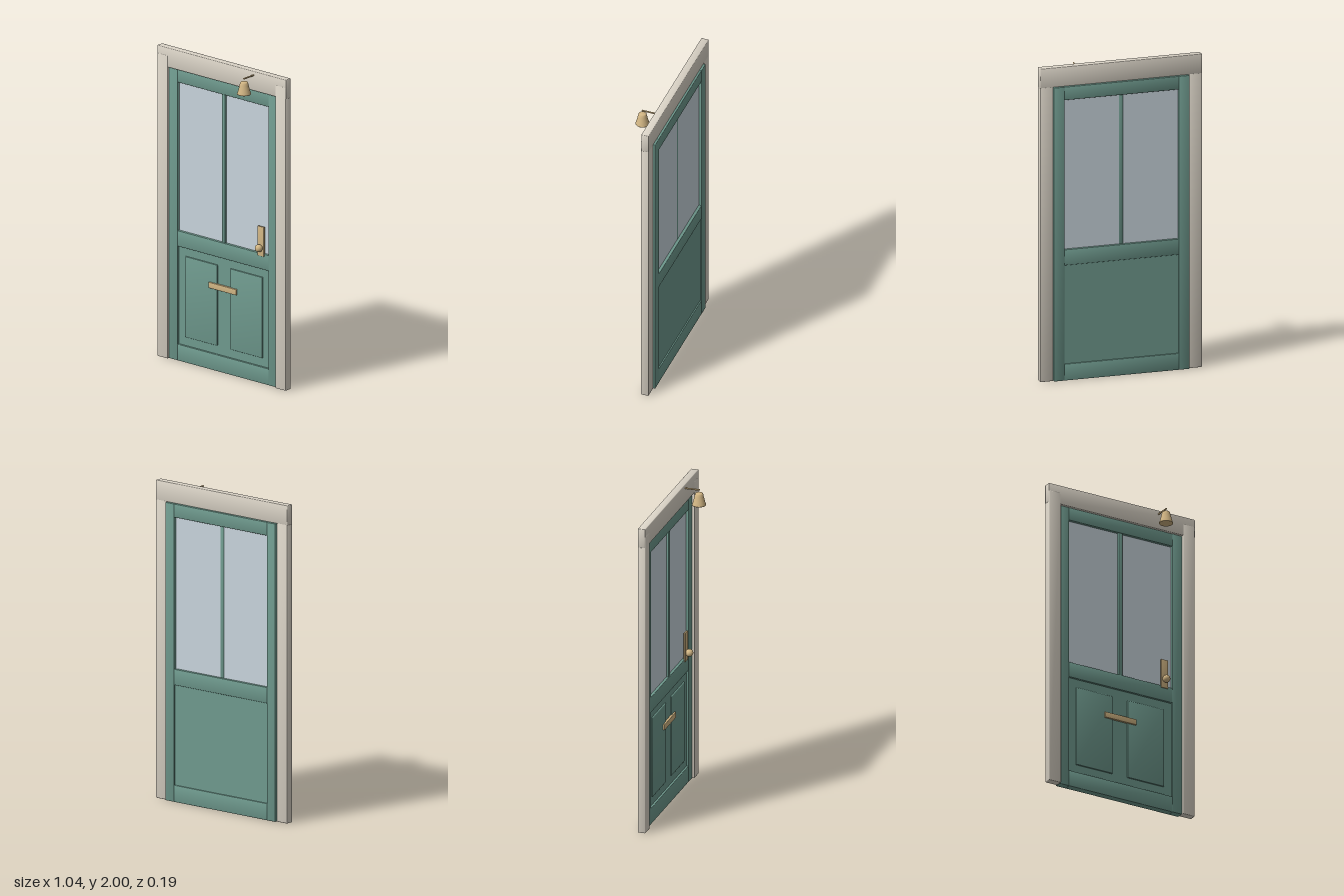
import * as THREE from 'three';
import { RoundedBoxGeometry } from 'three/addons/geometries/RoundedBoxGeometry.js';

const paint = new THREE.MeshStandardMaterial({ color: 0x6f9a8e });
const trim = new THREE.MeshStandardMaterial({ color: 0xdcd5c8 });
const brass = new THREE.MeshStandardMaterial({ color: 0xd2b684 });
const glass = new THREE.MeshStandardMaterial({ color: 0xc8d4dc });

// Bevelled block given by its limits; soft leans the normals outward for a pillowed shading
function block(name, material, [x0, x1], [y0, y1], [z0, z1], bevel = 0.003, soft = 0.25) {
  const geometry = new RoundedBoxGeometry(x1 - x0, y1 - y0, z1 - z0, 1, bevel);
  const p = geometry.attributes.position, n = geometry.attributes.normal;
  const v = new THREE.Vector3();
  for (let i = 0; i < p.count; i++) {
    v.fromBufferAttribute(n, i);
    v.x += soft * Math.sign(p.getX(i));
    v.y += soft * Math.sign(p.getY(i));
    v.z += soft * Math.sign(p.getZ(i));
    v.normalize();
    n.setXYZ(i, v.x, v.y, v.z);
  }
  const mesh = new THREE.Mesh(geometry, material);
  mesh.name = name;
  mesh.position.set((x0 + x1) / 2, (y0 + y1) / 2, (z0 + z1) / 2);
  return mesh;
}

function part(name, geometry, material, x, y, z) {
  const mesh = new THREE.Mesh(geometry, material);
  mesh.name = name;
  mesh.position.set(x, y, z);
  return mesh;
}

// Both limits mirrored to the other side when side is -1
const mirror = (side, a, b) => (side > 0 ? [a, b] : [-b, -a]);

function createFrame() {
  const frame = new THREE.Group();
  frame.name = 'doorFrame';
  frame.add(block('header', trim, [-0.52, 0.52], [1.875, 2], [-0.085, -0.037], 0.004));
  for (const side of [1, -1]) {
    frame.add(block(side > 0 ? 'leftJamb' : 'rightJamb', trim,
      mirror(side, 0.435, 0.519), [0, 1.95], [-0.0845, -0.036], 0.004));
  }
  return frame;
}

function createDoor() {
  const door = new THREE.Group();
  door.name = 'door';
  const depth = [-0.097, -0.05];
  // Stiles and rails
  for (const side of [1, -1]) {
    door.add(block(side > 0 ? 'leftStile' : 'rightStile', paint,
      mirror(side, 0.367, 0.435), [0, 1.874], depth));
  }
  const rails = { bottomRail: [0, 0.105], middleRail: [0.735, 0.835], topRail: [1.79, 1.874] };
  for (const [name, height] of Object.entries(rails)) {
    door.add(block(name, paint, [-0.369, 0.369], height, [-0.0965, -0.0505]));
  }
  // Window with a central glazing bar
  door.add(block('windowPane', glass, [-0.37, 0.37], [0.83, 1.795], [-0.078, -0.068], 0.001, 0));
  door.add(block('glazingBar', paint, [-0.013, 0.013], [0.83, 1.795], [-0.0785, -0.054], 0.002));
  // Lower panel with two raised fields
  door.add(block('lowerPanel', paint, [-0.37, 0.37], [0.1, 0.74], [-0.088, -0.064], 0.001, 0));
  for (const side of [1, -1]) {
    door.add(block(side > 0 ? 'leftRaisedPanel' : 'rightRaisedPanel', paint,
      mirror(side, 0.053, 0.313), [0.16, 0.68], [-0.072, -0.056], 0.004, 0.15));
  }
  return door;
}

function createHardware() {
  const hardware = new THREE.Group();
  hardware.name = 'hardware';
  hardware.add(block('letterSlot', brass, [-0.113, 0.111], [0.523, 0.56], [-0.062, -0.046], 0.002, 0.1));
  hardware.add(block('knobPlate', brass, [0.285, 0.335], [0.82, 1.01], [-0.056, -0.045], 0.002, 0.1));
  // Door knob on a short stem
  const stem = new THREE.CylinderGeometry(0.011, 0.011, 0.025, 16).rotateX(Math.PI / 2);
  hardware.add(part('knobStem', stem, brass, 0.31, 0.875, -0.042));
  hardware.add(part('knob', new THREE.SphereGeometry(0.024, 24, 16), brass, 0.31, 0.875, -0.027));
  return hardware;
}

function createBell() {
  const bell = new THREE.Group();
  bell.name = 'doorBell';
  const arm = new THREE.CylinderGeometry(0.005, 0.005, 0.095, 12).rotateX(Math.PI / 2);
  bell.add(part('bellArm', arm, brass, 0.26, 1.975, 0.008));
  const profile = [[0, 0], [0.042, 0], [0.043, 0.003], [0.036, 0.025], [0.028, 0.058],
    [0.025, 0.072], [0.02, 0.079], [0, 0.08]].map(([r, y]) => new THREE.Vector2(r, y));
  bell.add(part('bellBody', new THREE.LatheGeometry(profile, 32), brass, 0.26, 1.876, 0.052));
  return bell;
}

export function createModel() {
  const model = new THREE.Group();
  model.name = 'shopDoor';
  model.add(createFrame(), createDoor(), createHardware(), createBell());
  return model;
}
